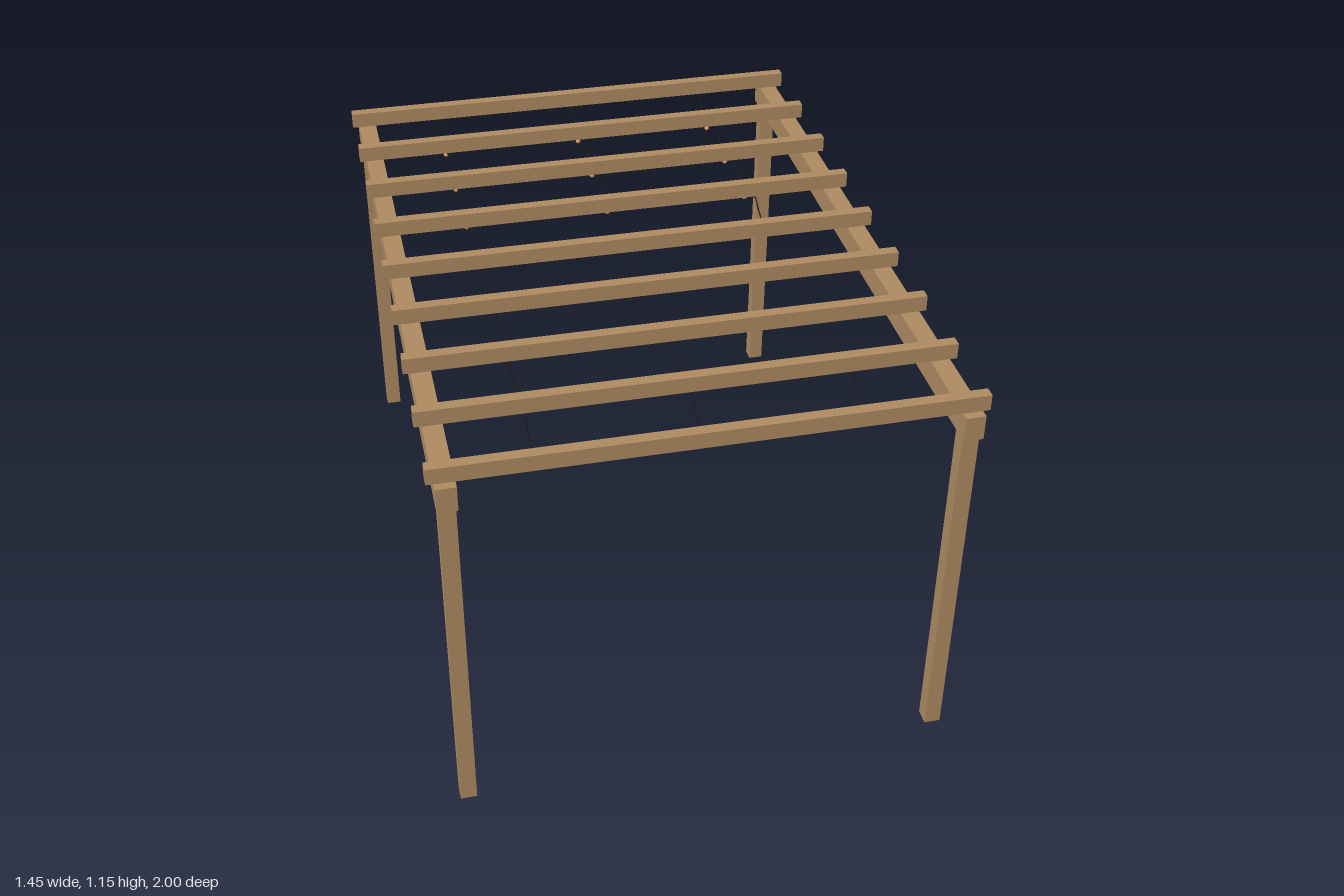
import * as THREE from 'three';

export function createModel() {
  const group = new THREE.Group();
  group.name = 'pergola';

  const material = (name, color) => {
    const m = new THREE.MeshStandardMaterial({ color });
    m.name = name;
    return m;
  };
  const wood = material('wood', 0xb08b62);
  const black = material('black cable', 0x1c1a18);
  const glow = material('warm bulb', 0xdda468);

  const add = (name, geometry, mat, x, y, z) => {
    const mesh = new THREE.Mesh(geometry, mat);
    mesh.name = name;
    mesh.position.set(x, y, z);
    group.add(mesh);
    return mesh;
  };

  const beamBottom = 1.037, beamTop = 1.109, rafterTop = 1.155;
  const sideX = 0.679, endZ = 0.96, bays = 8, spacing = 2 * endZ / bays;

  // Corner posts and the long beams they carry
  const postGeo = new THREE.BoxGeometry(0.046, beamBottom, 0.046);
  const beamGeo = new THREE.BoxGeometry(0.054, beamTop - beamBottom, 2);
  for (const s of [-1, 1]) {
    add('beam', beamGeo, wood, s * sideX, (beamTop + beamBottom) / 2, 0);
    for (const e of [-1, 1]) add('post', postGeo, wood, s * sideX, beamBottom / 2, e * endZ);
  }

  // Rafters across the beams
  const rafterGeo = new THREE.BoxGeometry(1.452, rafterTop - beamTop, 0.032);
  for (let i = 0; i <= bays; i++) {
    add('rafter', rafterGeo, wood, 0, (rafterTop + beamTop) / 2, -endZ + i * spacing);
  }

  // Light strings: the cable sags in each bay, with a socket and bulb at its lowest point
  const cableTop = 1.1, sag = 0.045;
  const socketGeo = new THREE.CylinderGeometry(0.005, 0.006, 0.016, 8);
  const bulbGeo = new THREE.SphereGeometry(0.008, 12, 8);
  for (const x of [-0.44, 0, 0.44]) {
    for (let i = 0; i < bays; i++) {
      const mid = -endZ + (i + 0.5) * spacing;
      const points = [];
      for (let k = 0; k <= 8; k++) {
        const t = k / 4 - 1;
        points.push(new THREE.Vector3(0, cableTop - sag * (1 - t * t), t * spacing / 2));
      }
      const curve = new THREE.CatmullRomCurve3(points);
      add('cable', new THREE.TubeGeometry(curve, 16, 0.002, 6), black, x, 0, mid);
      add('socket', socketGeo, black, x, 1.048, mid);
      add('bulb', bulbGeo, glow, x, 1.033, mid);
    }
  }

  return group;
}
